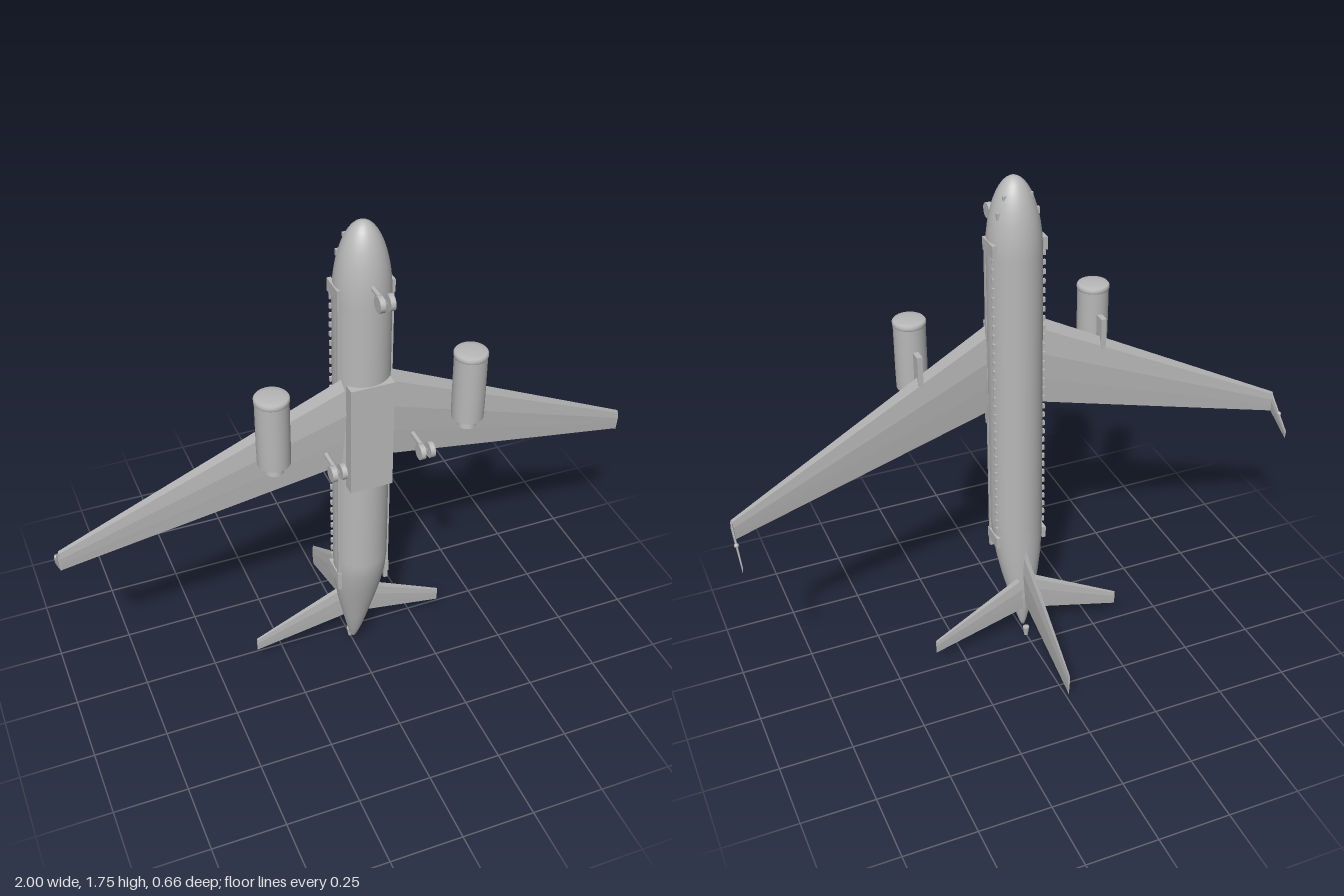
import * as THREE from 'three';

const gray = new THREE.MeshStandardMaterial({ color: 0xb8b8b8 });
gray.name = 'light gray';
const grayFlat = gray;

function add(parent, geometry, name, x = 0, y = 0, z = 0) {
  const mesh = new THREE.Mesh(geometry, gray);
  mesh.name = name;
  mesh.position.set(x, y, z);
  parent.add(mesh);
  return mesh;
}

const box = (parent, name, w, h, d, x, y, z) =>
  add(parent, new THREE.BoxGeometry(w, h, d), name, x, y, z);

// Skin a list of equal-length rings and close both ends
function loft(rings, flat) {
  const n = rings[0].length, pos = [], idx = [];
  rings.forEach(r => r.forEach(p => pos.push(...p)));
  for (let i = 0; i < rings.length - 1; i++) {
    for (let j = 0; j < n; j++) {
      const k = (j + 1) % n, a = i * n, b = a + n;
      idx.push(a + j, a + k, b + k, a + j, b + k, b + j);
    }
  }
  const last = (rings.length - 1) * n;
  for (let j = 1; j < n - 1; j++) {
    idx.push(0, j + 1, j, last, last + j, last + j + 1);
  }
  let g = new THREE.BufferGeometry();
  g.setAttribute('position', new THREE.Float32BufferAttribute(pos, 3));
  g.setIndex(idx);
  if (flat) g = g.toNonIndexed();
  g.computeVertexNormals();
  return g;
}

// Faceted aerofoil: stations are [span, leading y, trailing y, offset, thickness]
const FOIL = [[0, 0], [0.12, 0.35], [0.4, 0.5], [0.7, 0.3], [1, 0.03],
  [1, -0.03], [0.7, -0.3], [0.4, -0.5], [0.12, -0.35]];
function foil(stations, alongX) {
  return loft(stations.map(([s, lead, trail, off, t]) => FOIL.map(([c, h]) => {
    const y = lead + (trail - lead) * c, v = off + h * t;
    return alongX ? [s, y, v] : [v, y, s];
  })), true);
}

export function createModel() {
  const model = new THREE.Group();
  model.name = 'airliner';

  // Fuselage stations, tail to nose: [y, centre z, half width, half depth]
  const stations = [
    [0.03, 0.076, 0.006, 0.007], [0.05, 0.079, 0.014, 0.015], [0.1, 0.085, 0.028, 0.031],
    [0.18, 0.0925, 0.047, 0.0495], [0.26, 0.103, 0.066, 0.061], [0.34, 0.115, 0.08, 0.074],
    [0.42, 0.126, 0.088, 0.085], [0.49, 0.132, 0.091, 0.09]];
  for (let i = 0; i <= 12; i++) {
    const a = i / 12 * 1.55;
    stations.push([1.5 + 0.25 * Math.sin(a), 0.132 + 0.003 * i / 12,
      0.091 * Math.cos(a), 0.09 * Math.cos(a)]);
  }
  const SIDES = 40;
  add(model, loft(stations.map(([y, zc, rx, rz]) =>
    Array.from({ length: SIDES }, (_, j) => {
      const a = j / SIDES * Math.PI * 2;
      return [rx * Math.sin(a), y, zc + rz * Math.cos(a)];
    })), false), 'fuselage');

  // Belly fairing, tail cone and fin
  box(model, 'bellyFairing', 0.144, 0.395, 0.08, 0, 1.028, 0.187);
  add(model, new THREE.CylinderGeometry(0.012, 0.007, 0.035, 16), 'tailExhaust', 0, 0.0175, 0.045);
  add(model, foil([[0.08, 0.41, 0.15, 0, 0.024], [-0.33, 0.12, 0.028, 0, 0.007]], false), 'tailFin');

  // Landing gear with twin wheels
  function gear(parent, name, x, y, top) {
    const g = new THREE.Group();
    g.name = name;
    g.position.set(x, y, 0.305);
    const strut = add(g, new THREE.CylinderGeometry(0.008, 0.008, 0.305 - top, 12),
      'gearStrut', 0, 0, (top - 0.305) / 2);
    strut.rotation.x = Math.PI / 2;
    for (const s of [-1, 1]) {
      const wheel = add(g, new THREE.CylinderGeometry(0.026, 0.026, 0.016, 20), 'wheel', s * 0.016, 0, 0);
      wheel.rotation.z = Math.PI / 2;
    }
    parent.add(g);
  }
  gear(model, 'noseGear', 0, 1.57, 0.2);

  // Engine outline, nozzle to domed intake
  const nacelle = [[0, 1.0], [0.03, 1.0], [0.03, 1.0], [0.026, 1.035], [0.026, 1.035], [0.052, 1.035],
    [0.052, 1.035], [0.053, 1.1], [0.053, 1.262], [0.053, 1.262], [0.055, 1.266],
    [0.055, 1.275], [0.051, 1.28], [0.03, 1.283], [0, 1.284]]
    .map(([r, y]) => new THREE.Vector2(r, y));

  // Everything that comes in pairs
  for (const side of [1, -1]) {
    const half = new THREE.Group();
    half.name = side > 0 ? 'leftSide' : 'rightSide';
    half.scale.x = side;
    model.add(half);

    add(half, foil([[0.04, 1.26, 0.918, 0.174, 0.036], [0.99, 0.775, 0.695, 0.088, 0.009]], true), 'wing');
    add(half, foil([[0.092, 0.772, 0.695, 0.99, 0.009], [-0.015, 0.67, 0.635, 0.992, 0.005]], false), 'winglet');
    add(half, new THREE.SphereGeometry(0.008, 12, 8), 'navigationLight', 0.992, 0.71, 0.037);
    add(half, foil([[0.01, 0.275, 0.12, 0.052, 0.016], [0.35, 0.097, 0.042, 0.033, 0.006]], true), 'tailplane');

    add(half, new THREE.LatheGeometry(nacelle, 32), 'engine', 0.325, 0, 0.229);
    box(half, 'enginePylon', 0.018, 0.15, 0.05, 0.325, 1.11, 0.163);
    gear(half, 'mainGear', 0.147, 0.998, 0.21);

    // Side trim, doors and windows
    box(half, 'sideStripe', 0.014, 1.15, 0.012, 0.084, 0.935, 0.158);
    for (const y of [0.413, 1.53]) box(half, 'door', 0.014, 0.043, 0.084, 0.086, y, 0.125);
    for (let i = 0; i < 32; i++) {
      box(half, 'window', 0.014, 0.016, 0.009, 0.084, 0.465 + i * 0.0332, 0.097);
    }
    box(half, 'cockpitWindow', 0.012, 0.022, 0.012, 0.065, 1.64, 0.1);
    box(half, 'cockpitWindow', 0.012, 0.014, 0.008, 0.044, 1.695, 0.1);
  }
  return model;
}
